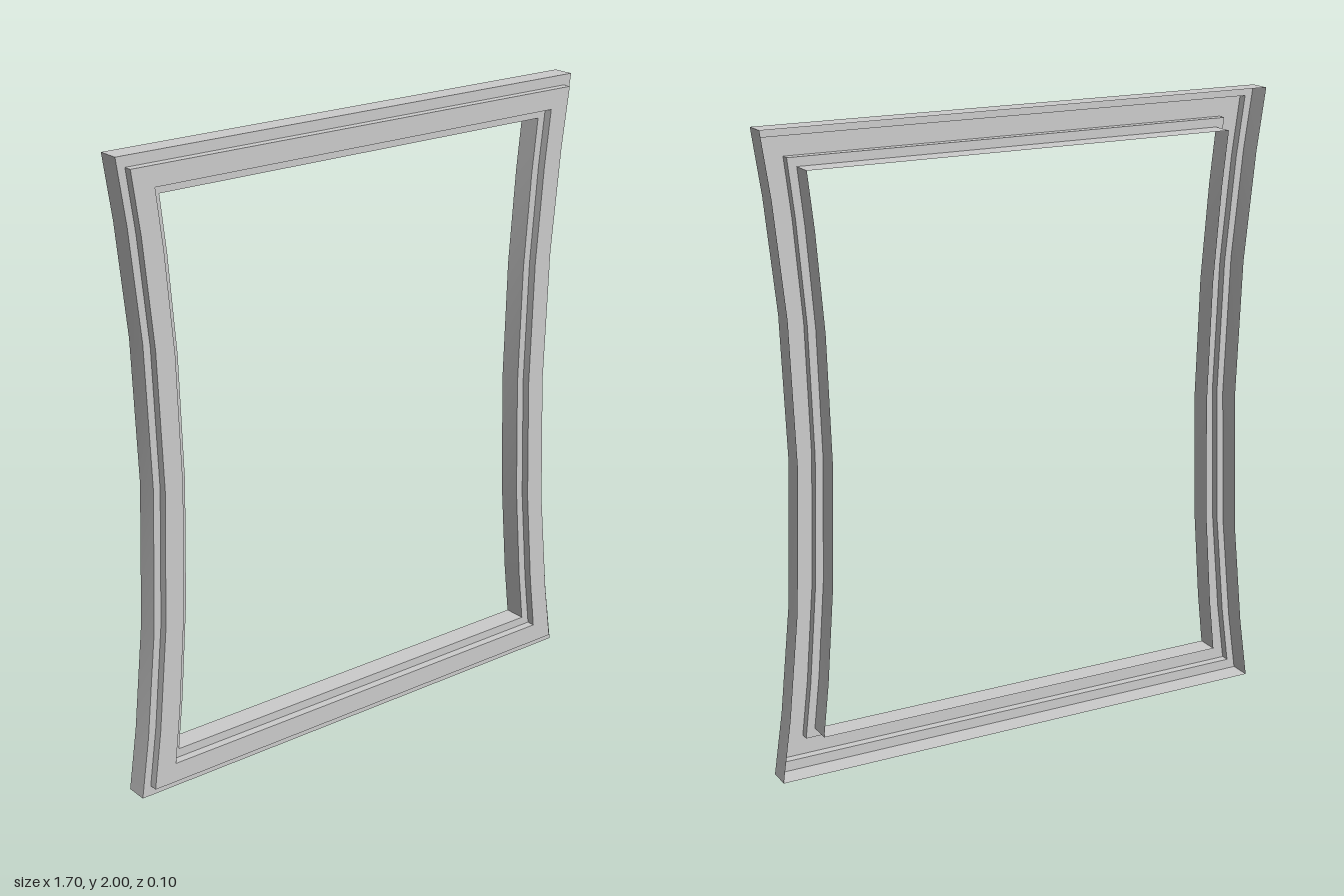
import * as THREE from 'three';
import { toCreasedNormals } from 'three/addons/utils/BufferGeometryUtils.js';

// Moulding section, from the outer back edge over the front to the inner back edge.
// Each ring: half width at the waist, half width at the corners, half height, depth.
const RINGS = [
  [0.767, 0.848, 1.0, -0.048],
  [0.767, 0.848, 1.0, 0.023],
  [0.744, 0.818, 0.967, 0.023],
  [0.744, 0.818, 0.967, 0.05],
  [0.682, 0.741, 0.904, 0.05],
  [0.682, 0.741, 0.904, 0.023],
  [0.657, 0.711, 0.876, 0.023],
  [0.657, 0.711, 0.876, -0.05],
];

// Relative heights of the break points along each bowed side
const STEPS = [-1, -0.8, -0.45, 0, 0.45, 0.8, 1];

// One closed ring, counter-clockwise seen from the front
function ringPoints([waist, corner, halfHeight, z]) {
  const right = STEPS.map((t) => [waist + (corner - waist) * t * t, 1 + t * halfHeight, z]);
  const left = right.map(([x, y]) => [-x, y, z]).reverse();
  return [...right, ...left];
}

// Sheet stretched over consecutive rings, open at the back
function mouldingGeometry() {
  const n = STEPS.length * 2;
  const index = [];
  for (let k = 0; k < RINGS.length - 1; k++) {
    for (let j = 0; j < n; j++) {
      const a = k * n + j;
      const b = k * n + ((j + 1) % n);
      index.push(a, b, a + n, b, b + n, a + n);
    }
  }
  const geometry = new THREE.BufferGeometry();
  geometry.setAttribute('position', new THREE.Float32BufferAttribute(RINGS.flatMap(ringPoints).flat(), 3));
  geometry.setIndex(index);
  return toCreasedNormals(geometry, Math.PI / 6);
}

export function createModel() {
  const model = new THREE.Group();
  model.name = 'bowedFrame';
  const material = new THREE.MeshStandardMaterial({ color: 0xcccccc, side: THREE.DoubleSide });

  // Hollow stepped moulding with pinched sides
  const moulding = new THREE.Mesh(mouldingGeometry(), material);
  moulding.name = 'frameMoulding';
  model.add(moulding);
  return model;
}
